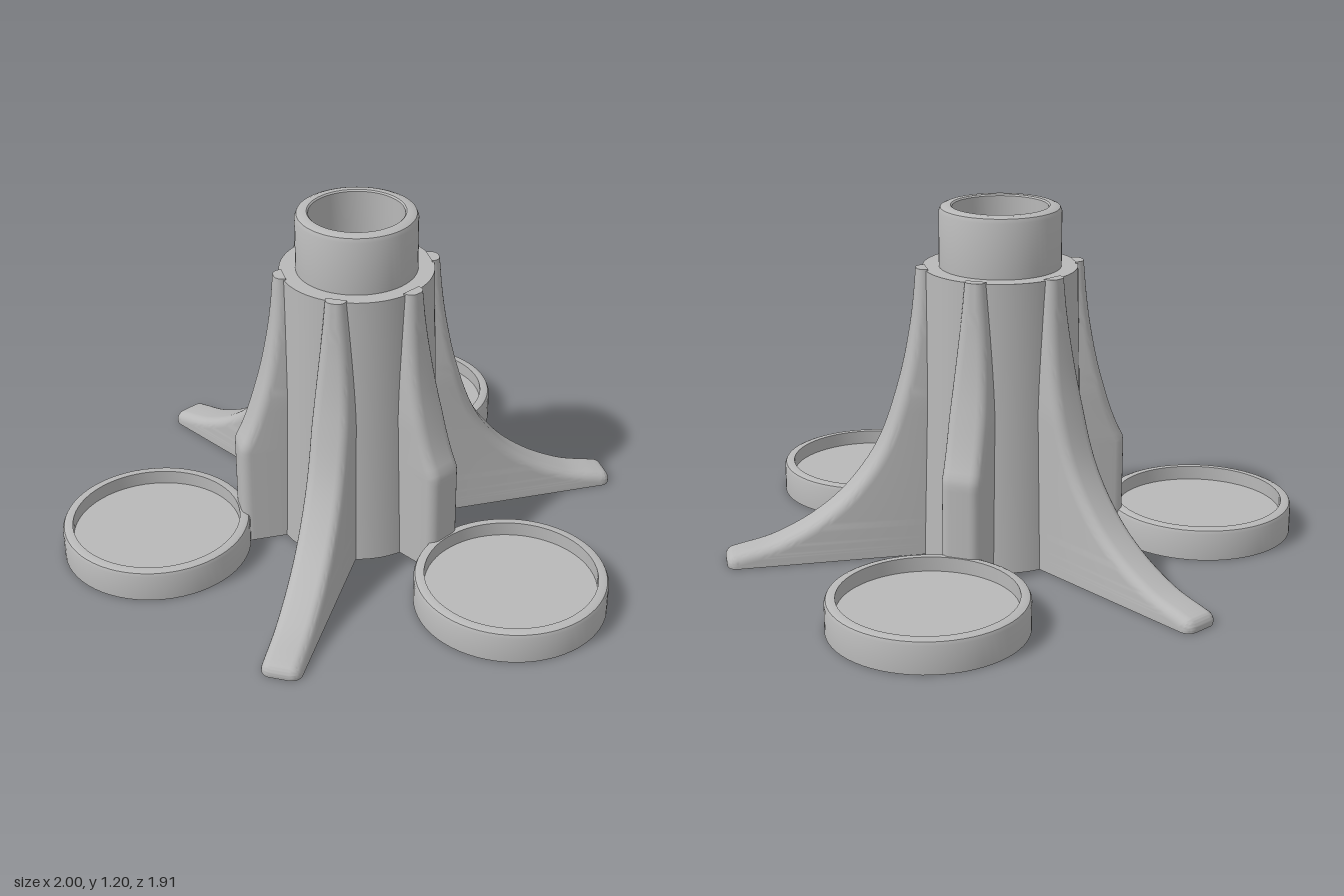
import * as THREE from 'three';
import { toCreasedNormals } from 'three/addons/utils/BufferGeometryUtils.js';

const grey = new THREE.MeshStandardMaterial({ color: 0xb8b8b8 });
grey.name = 'plain grey';

const CREASE = 0.45;

function part(name, geometry) {
  const mesh = new THREE.Mesh(toCreasedNormals(geometry, CREASE), grey);
  mesh.name = name;
  return mesh;
}

function lathe(profile, segments = 64) {
  return new THREE.LatheGeometry(profile.map(([r, y]) => new THREE.Vector2(r, y)), segments);
}

// Flared outer edge of a fin: distance from the axis, height
const flare = new THREE.SplineCurve([
  [0.285, 1.0], [0.305, 0.8], [0.345, 0.6], [0.415, 0.4], [0.52, 0.25], [0.64, 0.15],
  [0.78, 0.08], [0.9, 0.05], [0.935, 0.04], [0.95, 0.02], [0.95, 0],
].map(([r, y]) => new THREE.Vector2(r, y)));

// Fin with rounded edges, narrowing towards the top; maxR cuts it off vertically
function finGeometry(maxR) {
  const STATIONS = 80, ARC = 6, ROUND = 0.035, INNER = 0.25;
  const positions = [], index = [];
  const columns = 2 * (ARC + 1) + 2;

  for (let i = 0; i <= STATIONS; i++) {
    const p = flare.getPoint(i / STATIONS);
    const t = flare.getTangent(i / STATIONS);
    let nx = -t.y, ny = t.x;
    if (p.x > maxR || i === 0 || i === STATIONS) { nx = 1; ny = 0; }
    const r = Math.min(p.x, maxR);
    const y = Math.max(0, p.y);
    const half = 0.068 - 0.033 * Math.pow(Math.max(0, (y - 0.55) / 0.45), 1.3);
    const round = Math.min(ROUND, half * 0.8);
    const section = (depth, z) =>
      positions.push(r - nx * depth, Math.max(0, y - ny * depth), z);

    const innerY = Math.max(0, y - ny * round);
    positions.push(INNER, innerY, -half);
    for (const side of [-1, 1]) {
      for (let k = 0; k <= ARC; k++) {
        const a = ((side < 0 ? k : ARC - k) / ARC) * Math.PI / 2;
        section(round * (1 - Math.sin(a)), side * (half - round + round * Math.cos(a)));
      }
    }
    positions.push(INNER, innerY, half);
  }

  for (let i = 0; i < STATIONS; i++) {
    for (let j = 0; j < columns - 1; j++) {
      const a = i * columns + j, b = a + 1, c = a + columns, d = c + 1;
      index.push(a, b, c, b, d, c);
    }
  }
  // Top and bottom caps
  const last = STATIONS * columns;
  for (let k = 1; k < columns - 1; k++) {
    index.push(0, k + 1, k, last, last + k, last + k + 1);
  }

  const geometry = new THREE.BufferGeometry();
  geometry.setAttribute('position', new THREE.Float32BufferAttribute(positions, 3));
  geometry.setIndex(index);
  return geometry;
}

export function createModel() {
  const model = new THREE.Group();
  model.name = 'tubeStand';
  const stand = new THREE.Group();
  stand.name = 'stand';
  stand.position.x = -0.05;
  stand.rotation.y = THREE.MathUtils.degToRad(-0.5);
  model.add(stand);

  // Hollow column with a narrower collar on top
  stand.add(part('column', lathe([
    [0.235, 0], [0.285, 0], [0.26, 0.995], [0.205, 0.995], [0.205, 1.18], [0.199, 1.194],
    [0.185, 1.2], [0.165, 1.2], [0.16, 1.195], [0.16, 0.98], [0.235, 0.9], [0.235, 0],
  ])));

  // Three long legs alternating with three short ribs that carry round trays
  const legGeometry = finGeometry(2);
  const ribGeometry = finGeometry(0.43);
  const trayGeometry = lathe([
    [0, 0], [0.325, 0], [0.325, 0.095], [0.32, 0.106], [0.31, 0.11],
    [0.29, 0.11], [0.29, 0.06], [0, 0.06],
  ]);

  for (let i = 0; i < 3; i++) {
    const angle = (i * 2 * Math.PI) / 3;

    const leg = part('leg', legGeometry);
    leg.rotation.y = angle + Math.PI / 3;
    stand.add(leg);

    const arm = new THREE.Group();
    arm.name = 'trayArm';
    arm.rotation.y = angle;
    const tray = part('tray', trayGeometry);
    tray.position.x = 0.725;
    arm.add(part('rib', ribGeometry), tray);
    stand.add(arm);
  }

  return model;
}
